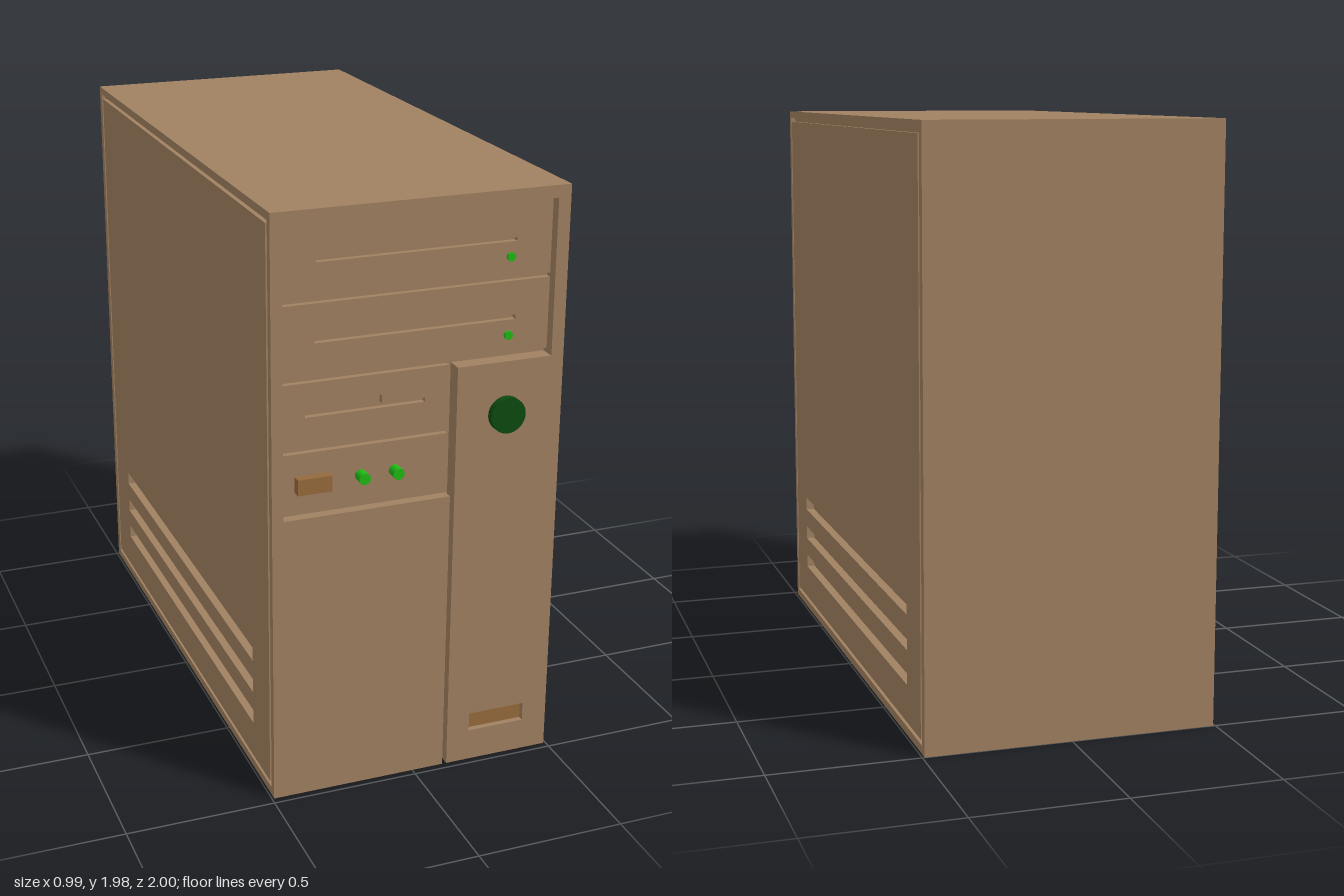
import * as THREE from 'three';

const material = (color) => new THREE.MeshStandardMaterial({ color });
const CASE = material(0xa08060);
const AMBER = material(0x966a3c);
const GREEN = material(0x1fb914);
const DARK_GREEN = material(0x0d4a10);

// Overall limits of the case
const W = 0.4925, H = 1.98, BACK = -1, FRONT = 0.975;
const CORE_X = 0.4625, CORE_Z = 0.92, BAY_Z = 0.94;

const poly = (pts) => new THREE.Shape(pts.map(([x, y]) => new THREE.Vector2(x, y)));
const rect = (x0, x1, y0, y1) => poly([[x0, y0], [x1, y0], [x1, y1], [x0, y1]]);

function add(parent, name, geometry, mat = CASE) {
  const mesh = new THREE.Mesh(geometry, mat);
  mesh.name = name;
  parent.add(mesh);
  return mesh;
}

// Flat plate standing in the xy plane between two depths
function plate(parent, name, shape, holes, z0, z1, mat) {
  shape.holes.push(...holes);
  const geometry = new THREE.ExtrudeGeometry(shape, { depth: z1 - z0, bevelEnabled: false });
  return add(parent, name, geometry.translate(0, 0, z0), mat);
}

// Round button or light facing forward
function disc(parent, name, x, y, r, z0, z1, mat) {
  const geometry = new THREE.CylinderGeometry(r, r, z1 - z0, 32).rotateX(Math.PI / 2);
  add(parent, name, geometry, mat).position.set(x, y, (z0 + z1) / 2);
}

function createFront() {
  const front = new THREE.Group();
  front.name = 'front';

  // Fascia, cut away around the drive bays and along the vertical groove
  const fascia = poly([
    [-CORE_X, 0], [0.11, 0], [0.11, 0.99], [-0.455, 0.99], [-0.455, 1.94], [0.45, 1.94],
    [0.45, 1.425], [0.125, 1.425], [0.125, 0], [CORE_X, 0], [CORE_X, H], [-CORE_X, H],
  ]);
  plate(front, 'fascia', fascia, [rect(0.205, 0.405, 0.11, 0.175)], CORE_Z, FRONT);
  plate(front, 'badge', rect(0.205, 0.405, 0.11, 0.175), [], CORE_Z, 0.955, AMBER);

  // Drive bays: right edge, bottom, top and slot
  const floppySlot = poly([
    [-0.37, 1.312], [0.03, 1.312], [0.03, 1.326], [-0.115, 1.326],
    [-0.115, 1.355], [-0.245, 1.355], [-0.245, 1.326], [-0.37, 1.326],
  ]);
  const bays = [
    ['upperDriveBay', 0.45, 1.69, 1.94, [rect(-0.335, 0.33, 1.805, 1.817)]],
    ['lowerDriveBay', 0.45, 1.44, 1.677, [rect(-0.34, 0.335, 1.55, 1.565)]],
    ['floppyBay', 0.11, 1.21, 1.425, [floppySlot]],
    ['controlPanel', 0.11, 0.99, 1.195, []],
  ];
  for (const [name, right, y0, y1, slots] of bays) {
    plate(front, name, rect(-0.455, right, y0, y1), slots, CORE_Z, BAY_Z);
  }

  // Lights and buttons
  for (const y of [1.757, 1.5]) disc(front, 'driveLight', 0.31, y, 0.014, BAY_Z - 0.01, 0.95, GREEN);
  for (const x of [-0.185, -0.07]) disc(front, 'statusButton', x, 1.095, 0.019, BAY_Z - 0.01, 0.98, GREEN);
  plate(front, 'resetButton', rect(-0.405, -0.29, 1.067, 1.12), [], BAY_Z - 0.01, 0.97, AMBER);
  disc(front, 'powerButton', 0.295, 1.25, 0.06, FRONT - 0.02, 1, DARK_GREEN);
  return front;
}

// Side wall with a grooved panel and three vents; s = 1 is the left, -1 the right
function createSide(s) {
  const side = new THREE.Group();
  side.name = s > 0 ? 'leftSide' : 'rightSide';
  const zyRect = (z0, z1, y0, y1) => {
    const a = -s * z0, b = -s * z1;
    return rect(Math.min(a, b), Math.max(a, b), y0, y1);
  };
  const vents = () => [0.17, 0.287, 0.405].map((y) => zyRect(-0.79, 0.77, y, y + 0.049));
  const mid = W - 0.015;
  plate(side, 'sideBacking', zyRect(BACK, FRONT, 0, H), vents(), CORE_X, mid);
  plate(side, 'sideRim', zyRect(BACK, FRONT, 0, H), [zyRect(-0.97, 0.95, 0.028, 1.955)], mid, W);
  plate(side, 'sidePanel', zyRect(-0.955, 0.935, 0.043, 1.94), vents(), mid, W);
  side.rotation.y = s * Math.PI / 2;
  return side;
}

export function createModel() {
  const model = new THREE.Group();
  model.name = 'computerTower';
  const core = new THREE.BoxGeometry(2 * CORE_X, H, CORE_Z - BACK);
  add(model, 'caseCore', core).position.set(0, H / 2, (CORE_Z + BACK) / 2);
  model.add(createFront(), createSide(1), createSide(-1));
  return model;
}
